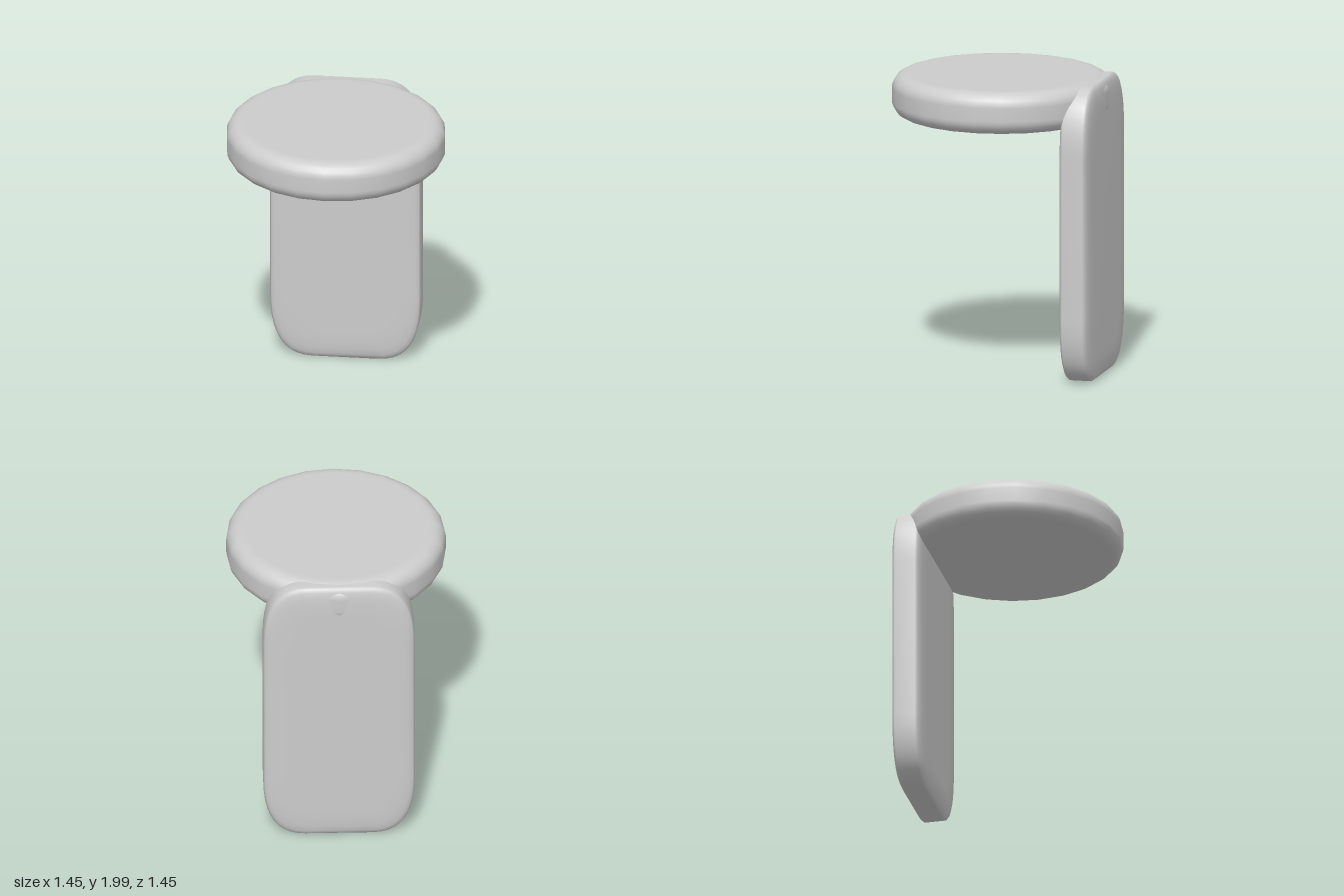
import * as THREE from 'three';

// Rounded-rectangle outline, counterclockwise, with soft tall corners
function outline(inset) {
  const w = 0.5 - inset, h = 0.992 - inset;
  const rx = 0.28 - inset * 0.6, ry = 0.44 - inset * 0.6;
  const corner = (sx, sy) => new THREE.QuadraticBezierCurve(
    new THREE.Vector2(sx * w, sy * (h - ry)),
    new THREE.Vector2(sx * w, sy * h),
    new THREE.Vector2(sx * (w - rx), sy * h)).getPoints(10);
  return [
    ...corner(1, 1), ...corner(-1, 1).reverse(),
    ...corner(-1, -1), ...corner(1, -1).reverse(),
  ];
}

// Pillow-edged slab made of stacked outlines from back to front
function slabGeometry() {
  const half = [[0, 0.068], [0.012, 0.082], [0.035, 0.093], [0.08, 0.1], [0.14, 0.103], [0.2, 0.104]];
  const layers = [
    ...half.map(([inset, z]) => [inset, -z]).reverse(),
    ...half,
  ];
  const pos = [], index = [];
  let n = 0;
  for (const [inset, z] of layers) {
    const ring = outline(inset);
    n = ring.length;
    for (const p of ring) pos.push(p.x, p.y, z);
  }
  const last = (layers.length - 1) * n, back = layers.length * n, front = back + 1;
  pos.push(0, 0, -0.104, 0, 0, 0.104);
  for (let i = 0; i < n; i++) {
    const j = (i + 1) % n;
    for (let l = 0; l < last; l += n) {
      index.push(l + i, l + j, l + n + j, l + i, l + n + j, l + n + i);
    }
    index.push(back, j, i, front, last + i, last + j);
  }
  const g = new THREE.BufferGeometry();
  g.setAttribute('position', new THREE.Float32BufferAttribute(pos, 3));
  g.setIndex(index);
  g.computeVertexNormals();
  return g;
}

// Round disc profile with softened rims
function discGeometry() {
  const R = 0.725, y0 = 1.718, y1 = 2, rx = 0.1, ry = 0.095;
  const pts = [new THREE.Vector2(0, y0), new THREE.Vector2(R - rx - 0.02, y0)];
  for (let k = 0; k <= 6; k++) {
    const a = (k / 6) * Math.PI / 2;
    pts.push(new THREE.Vector2(R - rx + rx * Math.sin(a), y0 + ry - ry * Math.cos(a)));
  }
  for (let k = 0; k <= 6; k++) {
    const a = (k / 6) * Math.PI / 2;
    pts.push(new THREE.Vector2(R - rx + rx * Math.cos(a), y1 - ry + ry * Math.sin(a)));
  }
  pts.push(new THREE.Vector2(R - rx - 0.02, y1), new THREE.Vector2(0, y1));
  return new THREE.LatheGeometry(pts, 24);
}

export function createModel() {
  const group = new THREE.Group();
  const grey = new THREE.MeshStandardMaterial({ color: 0xcccccc });
  grey.name = 'lightGrey';

  // Round top
  const disc = new THREE.Mesh(discGeometry(), grey);
  disc.name = 'roundTop';

  // Upright support behind it
  const panel = new THREE.Mesh(slabGeometry(), grey);
  panel.name = 'uprightPanel';
  panel.position.set(0, 1, -0.616);

  group.add(disc, panel);
  return group;
}
